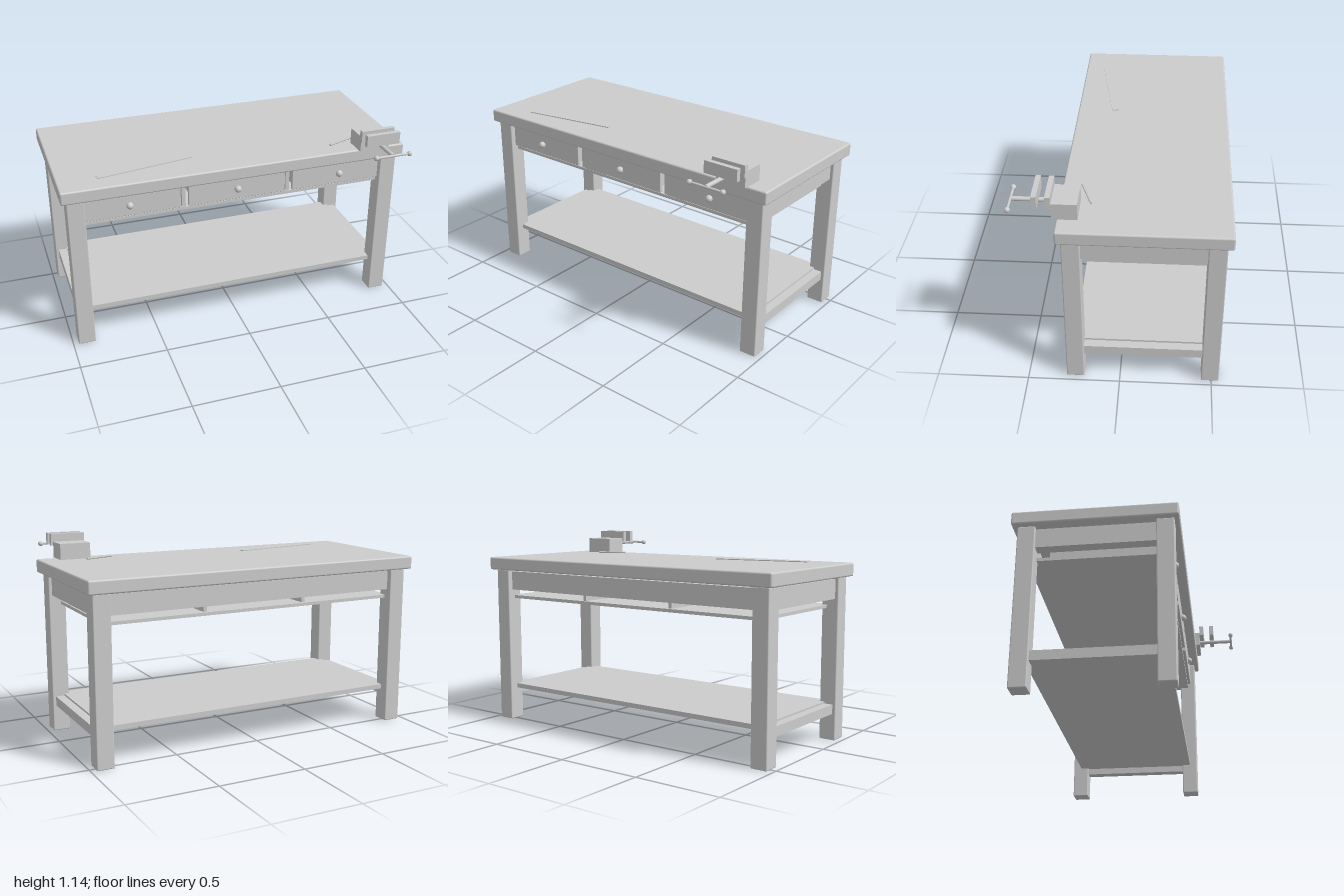
import * as THREE from 'three';
import { RoundedBoxGeometry } from 'three/addons/geometries/RoundedBoxGeometry.js';

export function createModel() {
  const bench = new THREE.Group();
  bench.name = 'workbench';
  const grey = new THREE.MeshStandardMaterial({ color: 0xcccccc });
  grey.name = 'plain grey';

  const add = (name, geometry, x, y, z, parent = bench) => {
    const mesh = new THREE.Mesh(geometry, grey);
    mesh.name = name;
    mesh.position.set(x, y, z);
    parent.add(mesh);
    return mesh;
  };
  // Box given by its limits on each axis; radius rounds the edges
  const box = (name, [x0, x1], [y0, y1], [z0, z1], radius = 0, parent = bench) => {
    const size = [x1 - x0, y1 - y0, z1 - z0];
    const geometry = radius
      ? new RoundedBoxGeometry(...size, 3, radius)
      : new THREE.BoxGeometry(...size);
    return add(name, geometry, (x0 + x1) / 2, (y0 + y1) / 2, (z0 + z1) / 2, parent);
  };
  const group = (name) => {
    const g = new THREE.Group();
    g.name = name;
    bench.add(g);
    return g;
  };

  // Table top and legs
  box('tableTop', [-1, 1], [0.925, 1], [-0.57, 0.317], 0.01);
  for (const x of [-0.92, 0.92]) {
    box('frontLeg', [x - 0.049, x + 0.049], [0, 0.925], [0.195, 0.291], 0.006);
    box('backLeg', [x - 0.049, x + 0.049], [0, 0.925], [-0.54, -0.444], 0.006);
  }

  // Frame rails at the ends and back
  for (const s of [-1, 1]) {
    const span = [s * 0.92 - 0.03, s * 0.92 + 0.03];
    box('sideApron', span, [0.804, 0.915], [-0.46, 0.21]);
    box('sideStretcher', span, [0.152, 0.206], [-0.46, 0.21]);
  }
  box('backApron', [-0.89, 0.89], [0.804, 0.915], [-0.51, -0.47]);

  // Lower shelf and the panel beneath the drawers
  box('lowerShelf', [-0.9, 0.9], [0.19, 0.217], [-0.49, 0.245]);
  box('drawerPanel', [-0.9, 0.9], [0.75, 0.768], [-0.49, 0.245]);

  // Drawer dividers
  for (const x of [-0.31, 0.31])
    box('drawerDivider', [x - 0.011, x + 0.011], [0.768, 0.915], [-0.47, 0.24]);

  // Three open drawers with round knobs
  for (const x of [-0.622, 0, 0.622]) {
    const drawer = group('drawer');
    const w = x === 0 ? 0.287 : 0.27;
    const c = x === 0 ? 0 : Math.sign(x) * 0.602;
    const zs = [-0.385, 0.24];
    box('drawerFront', [c - w, c + w], [0.778, 0.91], [0.24, 0.262], 0.004, drawer);
    box('drawerBottom', [c - 0.25, c + 0.25], [0.787, 0.797], zs, 0, drawer);
    box('drawerBack', [c - 0.25, c + 0.25], [0.797, 0.89], [-0.385, -0.37], 0, drawer);
    for (const s of [-1, 1]) {
      const side = c + s * 0.243;
      box('drawerSide', [side - 0.007, side + 0.007], [0.797, 0.89], zs, 0, drawer);
    }
    add('drawerKnob', new THREE.SphereGeometry(0.02, 24, 16), x, 0.842, 0.27, drawer);
  }

  // Vise: body, two jaws, screw and handle
  const vise = group('vise');
  box('viseBody', [0.71, 0.888], [1, 1.091], [0.209, 0.341], 0, vise);
  for (const z of [0.341, 0.409])
    box('viseJaw', [0.7, 0.9], [1.068, 1.136], [z, z + 0.027], 0, vise);
  const screw = add('viseScrew', new THREE.CylinderGeometry(0.012, 0.012, 0.215, 20), 0.8, 1.058, 0.448, vise);
  screw.rotation.x = Math.PI / 2;
  const handle = add('viseHandle', new THREE.CylinderGeometry(0.007, 0.007, 0.2, 16), 0.8, 1.058, 0.555, vise);
  handle.rotation.z = Math.PI / 2;
  for (const x of [0.7, 0.9])
    add('handleKnob', new THREE.SphereGeometry(0.015, 20, 14), x, 1.058, 0.555, vise);

  // Ruler and pencil lying on the top
  add('ruler', new THREE.BoxGeometry(0.56, 0.005, 0.035), -0.502, 1.0025, 0.145).rotation.y = 0.17;
  const pencil = add('pencil', new THREE.CylinderGeometry(0.006, 0.006, 0.182, 6), 0.664, 1.006, 0.184);
  pencil.rotation.set(0, 0.345, Math.PI / 2, 'YXZ');

  return bench;
}
